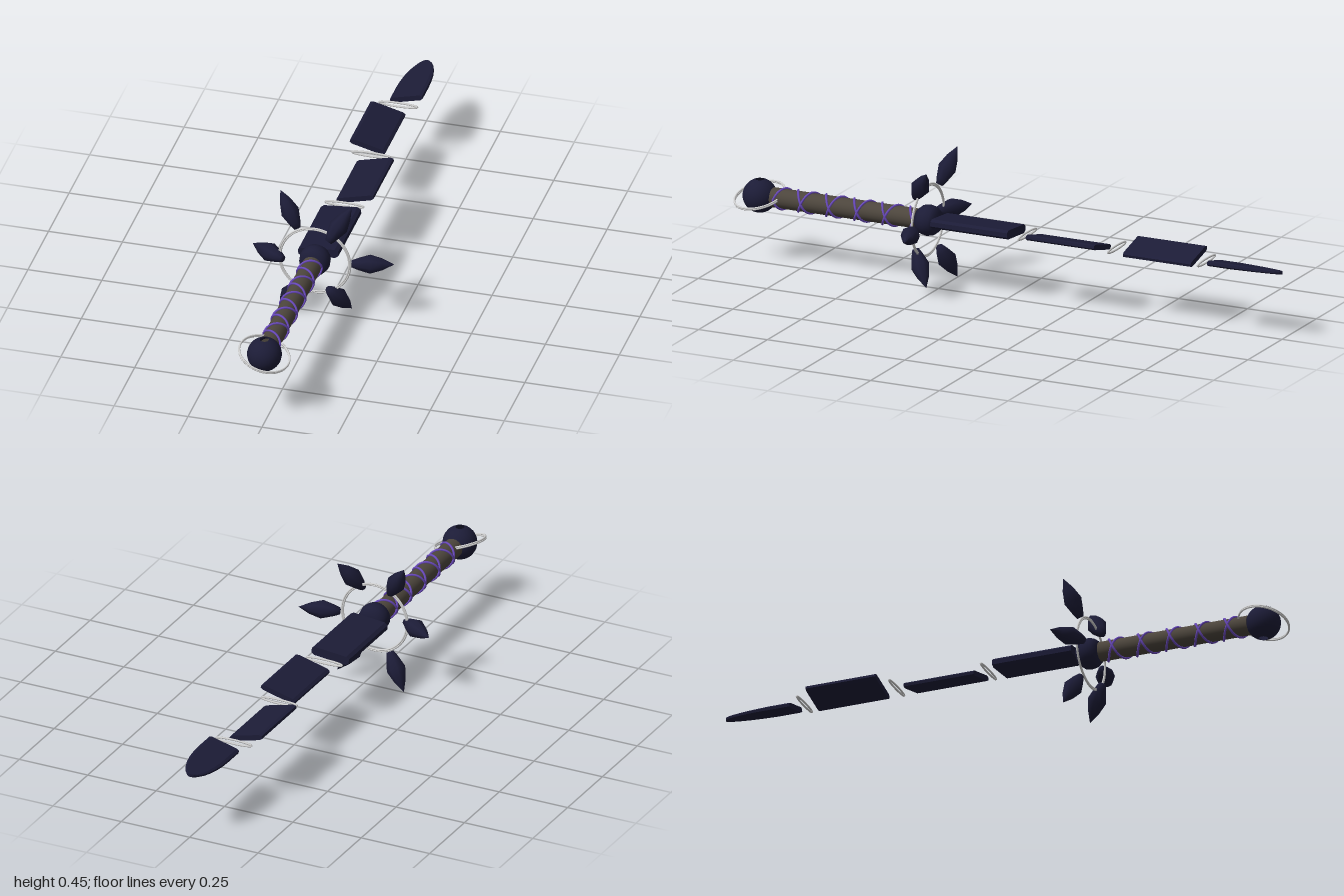
import * as THREE from 'three';

const CX = -0.017, CY = 0.224; // long axis of the sword, running along z

const mat = (name, color) => {
  const m = new THREE.MeshStandardMaterial({ color });
  m.name = name;
  return m;
};

// Lofted blade piece: sections are [z, half width, half thickness], front to back
function bladeGeometry(sections) {
  const outline = [[1, -0.5], [1, 0.5], [0.84, 1], [-0.84, 1], [-1, 0.5], [-1, -0.5], [-0.84, -1], [0.84, -1]];
  const n = outline.length, pos = [], idx = [];
  for (const [z, w, t] of sections) for (const [x, y] of outline) pos.push(x * w, y * t, z);
  for (let s = 0; s < sections.length - 1; s++) {
    for (let j = 0; j < n; j++) {
      const a = s * n + j, b = s * n + (j + 1) % n;
      idx.push(a, a + n, b + n, a, b + n, b);
    }
  }
  const last = (sections.length - 1) * n;
  for (let j = 1; j < n - 1; j++) {
    idx.push(0, j, j + 1);
    idx.push(last, last + j + 1, last + j);
  }
  const g = new THREE.BufferGeometry();
  g.setAttribute('position', new THREE.Float32BufferAttribute(pos, 3));
  g.setIndex(idx);
  const flat = g.toNonIndexed();
  flat.computeVertexNormals();
  return flat;
}

// Helix around the z axis
function helix(z0, z1, radius, turns, dir) {
  const pts = [];
  const steps = turns * 14;
  for (let i = 0; i <= steps; i++) {
    const t = i / steps, a = dir * t * turns * Math.PI * 2;
    pts.push(new THREE.Vector3(Math.cos(a) * radius, Math.sin(a) * radius, z0 + (z1 - z0) * t));
  }
  return new THREE.CatmullRomCurve3(pts);
}

// Round tube bent into an ellipse in the xy plane
function ellipseRing(rx, ry, tube) {
  const pts = [];
  for (let i = 0; i < 40; i++) {
    const a = i / 40 * Math.PI * 2;
    pts.push(new THREE.Vector3(Math.cos(a) * rx, Math.sin(a) * ry, 0));
  }
  return new THREE.TubeGeometry(new THREE.CatmullRomCurve3(pts, true), 80, tube, 6, true);
}

export function createModel() {
  const navy = mat('dark navy', 0x1c1c37);
  navy.side = THREE.DoubleSide;
  const silver = mat('silver', 0xd2d2d2);
  const brown = mat('grip brown', 0x4d463d);
  const purple = mat('wrap purple', 0x6a4abc);

  const model = new THREE.Group();
  model.name = 'sword';
  const add = (name, geo, material, x, y, z, parent = model) => {
    const m = new THREE.Mesh(geo, material);
    m.name = name;
    m.position.set(x, y, z);
    parent.add(m);
    return m;
  };

  // Pommel ball, open at both poles, with a tilted pair of stacked rings around it
  add('pommel', new THREE.SphereGeometry(0.057, 24, 16, 0, Math.PI * 2, 0.26, Math.PI - 0.52), navy, CX, CY, 0.908);
  for (const h of [-0.0025, 0.0025]) {
    const ringGeo = new THREE.TorusGeometry(0.085, 0.003, 8, 48).rotateX(Math.PI / 2).translate(0, h, 0);
    const orbit = add('pommelRing', ringGeo, silver, CX, CY, 0.909);
    orbit.rotation.set(0.14, 0, -0.3);
  }

  // Grip with two crossing wraps
  add('grip', new THREE.CylinderGeometry(0.033, 0.033, 0.55, 20).rotateX(Math.PI / 2), brown, CX, CY, 0.585);
  for (const dir of [1, -1]) {
    add('gripWrap', new THREE.TubeGeometry(helix(0.335, 0.845, 0.035, 5, dir), 160, 0.004, 6), purple, CX, CY, 0);
  }

  // Guard: flattened ball, double ring and six leaning crystals
  const guard = new THREE.Group();
  guard.name = 'guard';
  guard.position.set(CX, CY, 0.294);
  model.add(guard);
  const profile = [[0, -0.038], [0.034, -0.038], [0.048, -0.02], [0.052, 0], [0.048, 0.02], [0.034, 0.038], [0, 0.038]];
  const lathe = (pts, sides) => new THREE.LatheGeometry(pts.map(p => new THREE.Vector2(...p)), sides);
  add('guardHub', lathe(profile, 20).rotateX(Math.PI / 2), navy, 0, 0, 0, guard);
  for (const r of [0.116, 0.121]) {
    add('guardRing', new THREE.TorusGeometry(r, 0.003, 8, 64), silver, 0, 0, 0.003, guard);
  }
  const crystal = [[0, 0], [0.012, 0], [0.02, 0.02], [0.032, 0.06], [0.02, 0.1], [0, 0.139]];
  for (let i = 0; i < 6; i++) {
    const far = i % 2 === 0; // alternate crystals sit further out and lean less
    const g = lathe(crystal, 8);
    g.rotateX(far ? -0.24 : -0.52);
    g.translate(0, far ? 0.122 : 0.103, far ? -0.008 : 0.022);
    const m = add('guardCrystal', g, navy, 0, 0, 0, guard);
    m.rotation.z = i * Math.PI / 3 - Math.PI / 2;
  }

  // Separate thin blade pieces, offset and rolled: [x, half width, half thickness, front z, back z, roll]
  const T = 0.009, ROLL = 0.25;
  const pieces = [
    [-0.017, 0.068, 0.015, 0.255, -0.024, 0.09],
    [0.008, 0.064, T, -0.102, -0.35, ROLL],
    [-0.041, 0.061, T, -0.43, -0.677, -ROLL],
  ];
  for (const [x, w, t, z0, z1, roll] of pieces) {
    const piece = add('bladePiece', bladeGeometry([[z0, w, t], [z1, w, t]]), navy, x, CY + 0.004, 0);
    piece.rotation.z = roll;
  }

  // Rounded blade tip
  const tip = [[-0.754, 0.056, T], [-0.83, 0.056, T]];
  for (let i = 1; i <= 7; i++) {
    const t = Math.sin(i / 7 * Math.PI / 2);
    const k = Math.sqrt(Math.max(1 - t * t, 0.002));
    tip.push([-0.83 - 0.17 * t, 0.056 * k, T * (1 - 0.4 * t)]);
  }
  add('bladeTip', bladeGeometry(tip), navy, 0, CY + 0.004, 0).rotation.z = ROLL;

  // Flattened rings floating in the gaps
  for (const z of [-0.065, -0.39, -0.716]) {
    add('bladeRing', ellipseRing(0.065, 0.007, 0.0035), silver, CX, CY + 0.002, z);
  }

  return model;
}
